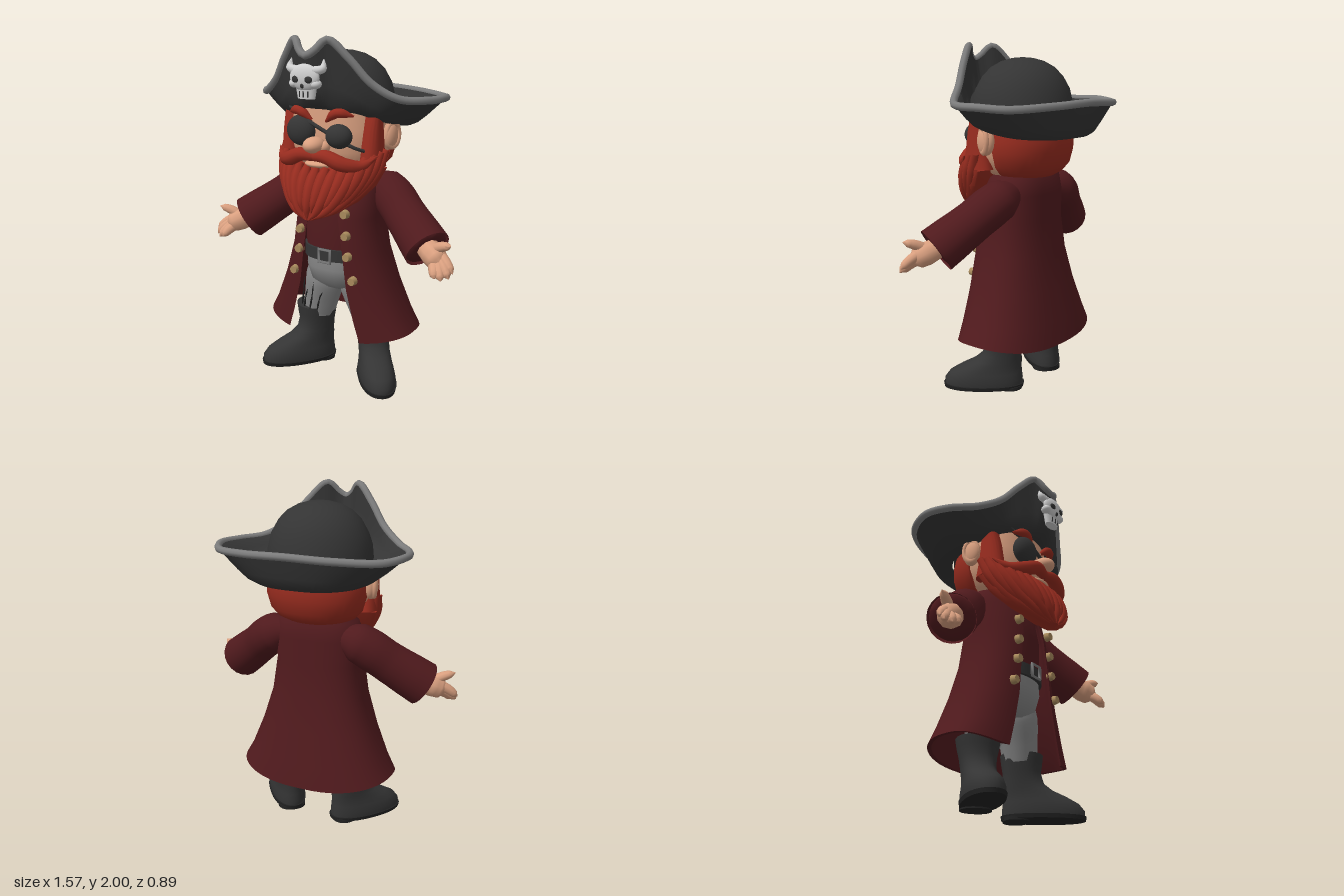
import * as THREE from 'three';
import { mergeVertices, toCreasedNormals } from 'three/addons/utils/BufferGeometryUtils.js';

const V = (x, y, z) => new THREE.Vector3(x, y, z);
const material = (name, color, side = THREE.FrontSide) => {
  const m = new THREE.MeshStandardMaterial({ color, side });
  m.name = name;
  return m;
};

// Skin a grid of points: rows run upward, columns run from the front toward +x.
function grid(rows, { closed = true, caps = true, crease = 0.9 } = {}) {
  const n = rows[0].length, pos = [], idx = [];
  rows.forEach(r => r.forEach(p => pos.push(p.x, p.y, p.z)));
  for (let i = 0; i < rows.length - 1; i++) {
    for (let j = 0; j < (closed ? n : n - 1); j++) {
      const k = (j + 1) % n, a = i * n + j, b = i * n + k;
      idx.push(a, b, b + n, a, b + n, a + n);
    }
  }
  if (closed && caps) {
    for (const [i, top] of [[0, false], [rows.length - 1, true]]) {
      const c = rows[i].reduce((s, p) => s.add(p), V(0, 0, 0)).divideScalar(n);
      const ci = pos.length / 3;
      pos.push(c.x, c.y, c.z);
      for (let j = 0; j < n; j++) {
        const a = i * n + j, b = i * n + (j + 1) % n;
        idx.push(ci, top ? a : b, top ? b : a);
      }
    }
  }
  const g = new THREE.BufferGeometry();
  g.setAttribute('position', new THREE.Float32BufferAttribute(pos, 3));
  g.setIndex(idx);
  return toCreasedNormals(g, crease);
}

// Rounded-box section with separate front and back depths
const sp = (v, e) => Math.sign(v) * Math.abs(v) ** e;
const section = (t, y, w, f, b, zc, e) =>
  V(w * sp(Math.sin(t), e), y, zc + (Math.cos(t) > 0 ? f : b) * sp(Math.cos(t), e));
const loft = (levels, zc = 0, e = 0.85, n = 36) => grid(levels.map(([y, w, f, b]) =>
  Array.from({ length: n }, (_, j) => section(j / n * Math.PI * 2, y, w, f, b, zc, e))));

// Tube through points whose radius follows a list of values
function taper(points, radii, n = 16, sides = 10) {
  const curve = new THREE.CatmullRomCurve3(points.map(p => V(...p)));
  const g = new THREE.TubeGeometry(curve, n, 1, sides), p = g.attributes.position, v = V(0, 0, 0);
  for (let i = 0; i <= n; i++) {
    const c = curve.getPointAt(i / n), s = i / n * (radii.length - 1);
    const k = Math.min(Math.floor(s), radii.length - 2);
    const r = THREE.MathUtils.lerp(radii[k], radii[k + 1], s - k);
    for (let j = 0; j <= sides; j++) {
      const q = i * (sides + 1) + j;
      v.fromBufferAttribute(p, q).sub(c).multiplyScalar(r).add(c);
      p.setXYZ(q, v.x, v.y, v.z);
    }
  }
  g.deleteAttribute('uv');
  g.deleteAttribute('normal');
  return toCreasedNormals(mergeVertices(g), 1.2);
}
const ball = (x, y, z, a, b, c) => new THREE.SphereGeometry(1, 28, 20).scale(a, b, c).translate(x, y, z);

function mirror(geo) {
  const g = geo.index ? geo.toNonIndexed() : geo.clone();
  g.scale(-1, 1, 1);
  for (const a of Object.values(g.attributes)) {
    for (let i = 0; i < a.count; i += 3) for (let k = 0; k < a.itemSize; k++) {
      const t = a.getComponent(i + 1, k);
      a.setComponent(i + 1, k, a.getComponent(i + 2, k));
      a.setComponent(i + 2, k, t);
    }
  }
  return g;
}

export function createModel() {
  const root = new THREE.Group();
  const black = material('black felt and leather', 0x343434, THREE.DoubleSide);
  const sole = material('dark sole', 0x222222);
  const trim = material('grey trim', 0x7c7c7c);
  const red = material('red hair', 0x982c1f);
  const skin = material('skin', 0xdaa080);
  const coatRed = material('coat red', 0x501a1d, THREE.DoubleSide);
  const grey = material('trouser grey', 0x888888);
  const gold = material('brass', 0xa88a5c);
  const bone = material('bone', 0xcfcfcf);
  const add = (name, geo, mat) => {
    const m = new THREE.Mesh(geo, mat);
    m.name = name;
    root.add(m);
  };
  const pair = (name, geo, mat) => {
    add(name + 'Left', geo, mat);
    add(name + 'Right', mirror(geo), mat);
  };

  // Boots, soles and trousers
  const foot = levels => grid(levels.map(([y, w, len, fwd]) =>
    Array.from({ length: 32 }, (_, j) => section(j / 32 * Math.PI * 2, y, w, len, len, fwd, 0.9))))
    .rotateY(0.68).translate(0.2, 0, 0.01);
  pair('boot', foot([[0.025, 0.1, 0.228, 0.118], [0.06, 0.105, 0.23, 0.118], [0.1, 0.098, 0.212, 0.105],
    [0.135, 0.092, 0.18, 0.075], [0.17, 0.09, 0.142, 0.035], [0.21, 0.092, 0.115, 0.01], [0.27, 0.1, 0.108, 0],
    [0.32, 0.112, 0.116, 0], [0.37, 0.12, 0.122, 0]]), black);
  pair('sole', foot([[0.008, 0.105, 0.234, 0.118], [0.03, 0.11, 0.238, 0.118]]), sole);
  pair('heel', foot([[0, 0.085, 0.075, -0.035], [0.02, 0.085, 0.075, -0.035]]), sole);
  pair('trouserLeg', taper([[0.09, 0.66, 0.03], [0.13, 0.52, 0.03], [0.18, 0.34, 0.015]], [0.12, 0.125, 0.11, 0.1]), grey);
  add('hips', loft([[0.54, 0.12, 0.1, 0.1], [0.59, 0.18, 0.165, 0.15], [0.68, 0.205, 0.19, 0.16],
    [0.78, 0.2, 0.185, 0.15]], 0.03), grey);
  // Dark tears down the right trouser leg
  for (const t of [-0.9, -0.45, 0, 0.45]) {
    const at = (x, y, z, r) => [x + r * Math.sin(t), y, z + r * Math.cos(t)];
    add('trouserTear', taper([at(-0.178, 0.37, 0.018, 0.106), at(-0.15, 0.46, 0.027, 0.114),
      at(-0.128, 0.53 + 0.03 * Math.cos(t * 7), 0.03, 0.122)], [0.004, 0.006, 0.003, 0.005, 0.001], 12, 6), sole);
  }

  // Waistcoat, belt and buckle
  add('waistcoat', loft([[0.77, 0.205, 0.19, 0.15], [1.0, 0.21, 0.195, 0.15], [1.15, 0.2, 0.165, 0.14],
    [1.26, 0.13, 0.09, 0.1]], 0.03), coatRed);
  add('belt', loft([[0.74, 0.215, 0.205, 0.16], [0.81, 0.215, 0.205, 0.16]], 0.03), black);
  add('buckle', new THREE.TorusGeometry(0.052, 0.011, 4, 4).rotateZ(Math.PI / 4).translate(0.01, 0.775, 0.25), trim);

  // Open flared coat: lining, hem, then outside. Columns: y, width, front, back, gap
  const coat = [[0.28, 0.475, 0.235, 0.305, 0.24], [0.42, 0.425, 0.235, 0.28, 0.2], [0.6, 0.35, 0.235, 0.24, 0.155],
    [0.8, 0.285, 0.235, 0.205, 0.13], [1.0, 0.255, 0.225, 0.185, 0.1], [1.15, 0.26, 0.185, 0.188, 0.09],
    [1.25, 0.235, 0.11, 0.178, 0.08], [1.295, 0.15, 0.06, 0.14, 0.06]];
  const coatRow = ([y, w, f, b, gap], inset) => Array.from({ length: 49 }, (_, j) => {
    const start = Math.asin((gap / w) ** (1 / 0.8)), t = start + (Math.PI * 2 - 2 * start) * j / 48;
    const d = j === 0 || j === 48 ? 0 : inset;
    const lift = y < 0.3 ? 0.055 * Math.sin(t) ** 2 : 0;
    return section(t, y + lift, w - d, f - d, b - d, 0.03, 0.8);
  });
  add('coat', grid([...coat.slice().reverse().map(r => coatRow(r, 0.022)), ...coat.map(r => coatRow(r, 0))],
    { closed: false }), coatRed);
  for (const [x, y] of [[0.145, 1.04], [0.15, 0.915], [0.16, 0.795], [0.195, 0.66]]) {
    pair('button', new THREE.CylinderGeometry(0.022, 0.027, 0.032, 12).rotateX(Math.PI / 2).translate(x, y, 0.252), gold);
  }

  // Sleeves and open hands
  pair('sleeve', taper([[0.17, 1.17, -0.04], [0.28, 1.13, -0.02], [0.44, 1.01, 0.06], [0.6, 0.89, 0.145]],
    [0.07, 0.115, 0.12, 0.118, 0.122, 0.128, 0.132], 24, 20), coatRed);
  pair('cuffLining', taper([[0.58, 0.905, 0.135], [0.601, 0.889, 0.146], [0.604, 0.887, 0.147]], [0.125, 0.12, 0.001], 6, 20), coatRed);
  pair('palm', taper([[0.56, 0.915, 0.13], [0.63, 0.885, 0.165], [0.69, 0.855, 0.2], [0.73, 0.835, 0.22]],
    [0.055, 0.062, 0.068, 0.06, 0.001]), skin);
  for (const [a, tip] of [[[0.69, 0.885, 0.18], [0.785, 0.81, 0.23]], [[0.7, 0.86, 0.2], [0.772, 0.785, 0.25]],
    [[0.69, 0.845, 0.21], [0.738, 0.775, 0.275]], [[0.67, 0.84, 0.215], [0.705, 0.785, 0.285]],
    [[0.64, 0.9, 0.17], [0.768, 0.957, 0.222]]]) {
    const mid = a.map((v, k) => (v + tip[k]) / 2 + (k === 1 ? 0.006 : 0));
    pair('finger', taper([a, mid, tip], [0.03, 0.03, 0.029, 0.027, 0.022, 0.001], 15, 10), skin);
  }

  // Head, hair and ears
  add('head', loft([[1.23, 0.15, 0.14, 0.08], [1.28, 0.23, 0.22, 0.14], [1.38, 0.285, 0.25, 0.2],
    [1.5, 0.29, 0.25, 0.2], [1.64, 0.27, 0.24, 0.18]], 0.02), skin);
  add('backHair', loft([[1.25, 0.18, 0.01, 0.15], [1.275, 0.235, 0.01, 0.19], [1.32, 0.275, 0.01, 0.225],
    [1.4, 0.298, 0.01, 0.243], [1.46, 0.3, 0.01, 0.246], [1.515, 0.292, 0.01, 0.235]], 0, 0.92), red);
  pair('sideburn', loft([[1.3, 0.06, 0.09, 0.1], [1.4, 0.055, 0.075, 0.08], [1.5, 0.05, 0.06, 0.07],
    [1.58, 0.045, 0.04, 0.06]], 0.14).translate(0.257, 0, 0), red);
  pair('ear', ball(0.31, 1.465, 0.035, 0.038, 0.08, 0.055), skin);
  pair('earRim', new THREE.TorusGeometry(0.05, 0.015, 8, 20).scale(0.85, 1.3, 1).rotateY(1.15).translate(0.325, 1.47, 0.04), skin);

  // Face
  add('nose', ball(0, 1.425, 0.325, 0.058, 0.045, 0.07), skin);
  pair('nostril', ball(0.045, 1.415, 0.3, 0.035, 0.032, 0.04), skin);
  add('lowerLip', ball(0, 1.315, 0.28, 0.085, 0.022, 0.055), skin);
  pair('eyebrow', taper([[0.045, 1.55, 0.275], [0.12, 1.6, 0.285], [0.205, 1.585, 0.25]], [0.008, 0.026, 0.026, 0.004]), red);
  add('eyePatchRight', ball(-0.115, 1.49, 0.275, 0.088, 0.085, 0.058), black);
  add('eyePatchLeft', ball(0.125, 1.475, 0.275, 0.077, 0.066, 0.058), black);
  add('patchStrap', taper([[-0.21, 1.61, 0.24], [-0.06, 1.545, 0.285], [0.06, 1.49, 0.285], [0.2, 1.42, 0.255],
    [0.275, 1.38, 0.17]], [0.012, 0.009]), black);
  pair('moustache', taper([[0, 1.365, 0.325], [0.08, 1.37, 0.335], [0.17, 1.335, 0.315], [0.25, 1.325, 0.255],
    [0.32, 1.375, 0.19]], [0.028, 0.038, 0.042, 0.036, 0.024, 0.002], 24, 12), red);

  // Beard: a filled core covered by strands that curl to a rounded point
  const beard = [[1.025, 0.03, 0.03, 0.375], [1.065, 0.14, 0.1, 0.305], [1.12, 0.22, 0.18, 0.22],
    [1.2, 0.285, 0.225, 0.145], [1.295, 0.32, 0.215, 0.09]];
  add('beardCore', grid(beard.map(([y, w, f, zc]) => Array.from({ length: 32 }, (_, j) =>
    section(j / 32 * Math.PI * 2, y, w, f, 0.03, zc, 1)))), red);
  for (let i = -8; i <= 8; i++) {
    const t = i / 8 * 1.5, s = Math.sin(t);
    const pts = beard.map(([y, w, f, zc], k) =>
      [w * Math.sin(t), y + k / 4 * 0.1 * s * s, zc + f * Math.cos(t)]).reverse();
    add('beardStrand', taper(i % 2 ? pts.slice(0, 4) : pts, [0.022, 0.034, 0.034, 0.03, 0.022, 0.002], 18, 8), red);
  }

  // Three-cornered hat: matching rim and base loops, half of each mirrored
  const loop = half => new THREE.CatmullRomCurve3([...half,
    ...half.slice(1, -1).reverse().map(([x, y, z]) => [-x, y, z])].map(p => V(...p)), true);
  const rim = loop([[0, 1.9, 0.4], [0.045, 1.925, 0.385], [0.1, 1.98, 0.345], [0.2, 1.885, 0.295],
    [0.3, 1.76, 0.24], [0.42, 1.68, 0.165], [0.525, 1.665, 0.03], [0.555, 1.665, -0.12], [0.48, 1.655, -0.27],
    [0.26, 1.665, -0.385], [0, 1.675, -0.425]]);
  const base = loop([[0, 1.62, 0.31], [0.06, 1.62, 0.305], [0.1, 1.615, 0.3], [0.17, 1.61, 0.27],
    [0.23, 1.595, 0.225], [0.3, 1.56, 0.15], [0.345, 1.53, 0.05], [0.36, 1.51, -0.08], [0.33, 1.495, -0.21],
    [0.19, 1.485, -0.32], [0, 1.485, -0.355]]);
  const hatRow = (t, scale, lift) => Array.from({ length: 120 }, (_, j) => {
    const a = base.getPoint(j / 120), b = rim.getPoint(j / 120);
    const h = t ** (0.8 - 0.4 * THREE.MathUtils.smoothstep(a.z, 0.2, 0.3));
    return V((a.x + (b.x - a.x) * h) * scale, a.y + (b.y - a.y) * t + lift, (a.z + (b.z - a.z) * h) * scale);
  });
  add('hatBrim', grid([hatRow(0, 0.75, 0.02), hatRow(0, 0.95, -0.005), hatRow(0.08, 1, 0), hatRow(0.35, 1, 0),
    hatRow(0.7, 1, 0), hatRow(1, 1, 0), hatRow(1, 0.95, 0), hatRow(0.6, 0.94, 0.01), hatRow(0.25, 0.93, 0.02),
    hatRow(0.05, 0.75, 0.04)], { caps: false }), black);
  add('hatTrim', new THREE.TubeGeometry(rim, 140, 0.021, 8, true), trim);
  // Crown with a tilted lower edge and a flattened top: y, radius, tilt
  add('hatCrown', grid([[1.575, 0.305, 0.25], [1.66, 0.298, 0.1], [1.74, 0.275, 0], [1.81, 0.235, 0], [1.86, 0.185, 0],
    [1.893, 0.125, 0], [1.91, 0.06, 0], [1.914, 0.01, 0]].map(([y, r, tilt]) => Array.from({ length: 40 }, (_, j) => {
    const p = section(j / 40 * Math.PI * 2, y, r, r * 0.96, r * 0.96, 0.025, 1);
    return p.setY(y + tilt * p.z);
  }))), black);

  // Skull ornament with horns
  add('skull', ball(0, 1.79, 0.405, 0.09, 0.07, 0.034), bone);
  add('skullJaw', new THREE.CylinderGeometry(0.066, 0.052, 0.08, 16).scale(1, 1, 0.5).translate(0, 1.72, 0.39), bone);
  pair('cheekbone', ball(0.066, 1.758, 0.4, 0.03, 0.024, 0.03), bone);
  pair('horn', taper([[0.055, 1.825, 0.4], [0.1, 1.838, 0.39], [0.1, 1.885, 0.375]], [0.024, 0.022, 0.002]), bone);
  pair('eyeSocket', ball(0.038, 1.782, 0.43, 0.024, 0.019, 0.012), black);
  add('noseHole', ball(0, 1.75, 0.428, 0.012, 0.014, 0.012), black);
  for (const x of [-0.026, 0, 0.026]) {
    add('toothGap', new THREE.BoxGeometry(0.005, 0.032, 0.008).translate(x, 1.705, 0.418 - Math.abs(x) * 0.12), black);
  }
  return root;
}
